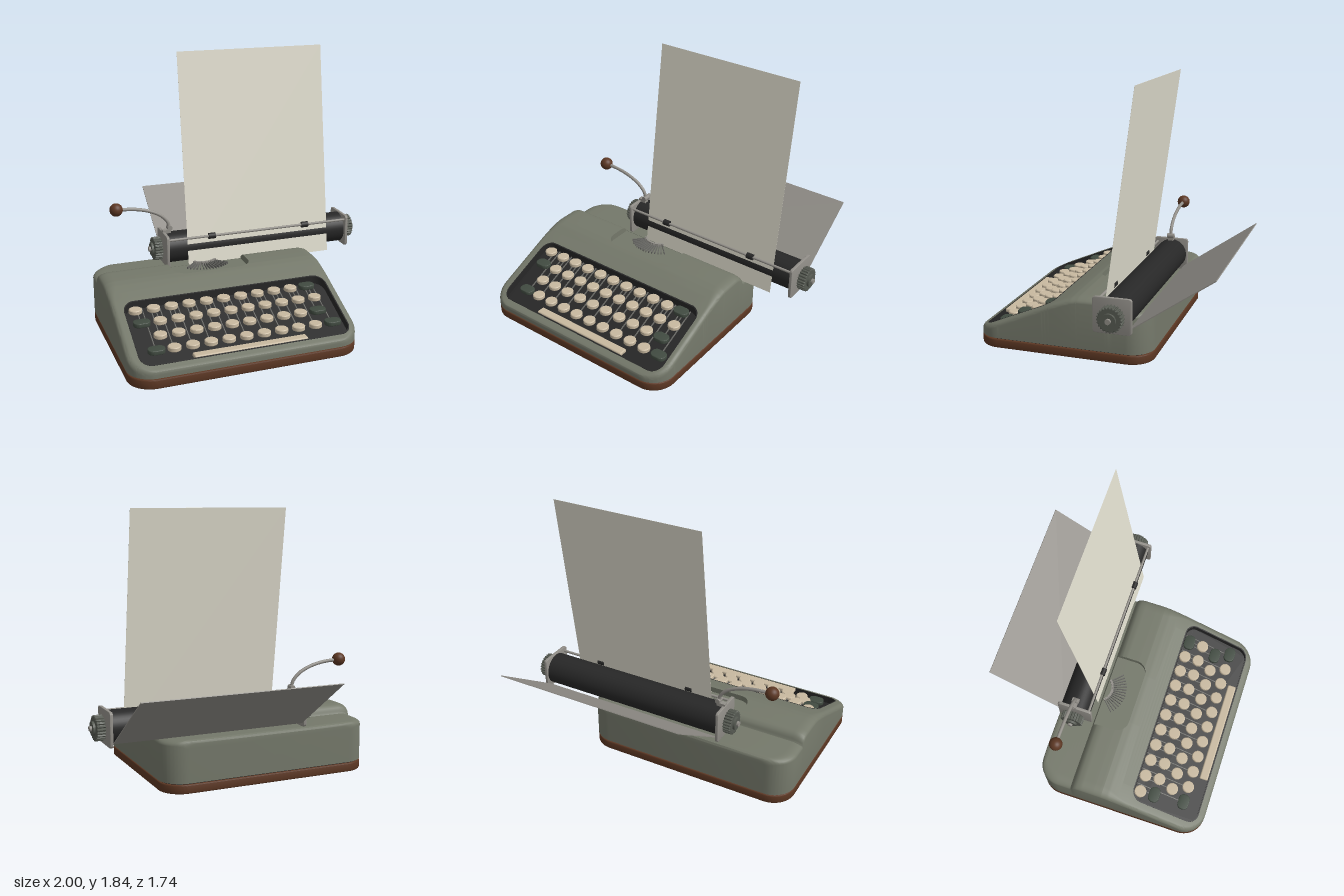
import * as THREE from 'three';
import { toCreasedNormals } from 'three/addons/utils/BufferGeometryUtils.js';
import { RoundedBoxGeometry } from 'three/addons/geometries/RoundedBoxGeometry.js';

const mat = (color, side = THREE.FrontSide) => new THREE.MeshStandardMaterial({ color, side });
const M = {
  body: mat(0x74786a), wood: mat(0x5c3723), key: mat(0xc8b9a0), darkKey: mat(0x414b41), black: mat(0x272727),
  metal: mat(0x928f89), knob: mat(0x565a52), steel: mat(0x6a6a66),
  paper: mat(0xe2dfd0, THREE.DoubleSide), tray: mat(0x928f89, THREE.DoubleSide),
};

// Body footprint and side profile (z, height) from front to back
const CX = -0.235, HW = 0.765, ZF = 0.867, ZB = -0.37, R = 0.16, YB = 0.07;
const PROFILE = [[.867, .10], [.863, .113], [.85, .121], [.30, .358], [.22, .39], [.17, .408], [.12, .418], [.06, .42],
  [-.04, .42], [-.07, .412], [-.092, .395], [-.103, .37], [-.106, .36], [-.11, .355], [-.35, .355], [-.364, .349], [-.37, .335]];
const WELL = { x: -0.224, hw: 0.705, z0: 0.32, z1: 0.82, r: 0.08, floor: h => h - 0.055 };
const BASKET = { x: -0.235, hw: 0.275, z0: -0.1, z1: 0.14, r: 0.09, open: true, floor: h => Math.min(h, 0.375) };

function height(z) {
  for (let i = 1; i < PROFILE.length; i++) {
    const [z0, y0] = PROFILE[i - 1], [z1, y1] = PROFILE[i];
    if (z >= z1) return y0 + (y1 - y0) * (z0 - z) / (z0 - z1);
  }
  return 0.335;
}

// Half width at z of a plan with rounded corners
function halfWidth(z, hw, z0, z1, r, open) {
  const d = Math.max(0, r - Math.max(0, open ? z1 - z : Math.min(z - z0, z1 - z)));
  return hw - r + Math.sqrt(Math.max(0, r * r - d * d));
}

// One closed cross-section of the body, from bottom left over the top to bottom right
function section(z, sunk) {
  const h = height(z), w = halfWidth(z, HW, ZB, ZF, R), n = 6;
  const rx = 0.035 + 0.045 * (1 - THREE.MathUtils.smoothstep(z, 0.1, 0.32)), ry = Math.min(0.035, (h - YB) * 0.6);
  const pit = z > 0.23 ? WELL : BASKET, pw = halfWidth(z, pit.hw, pit.z0, pit.z1, pit.r, pit.open);
  const f = sunk ? pit.floor(h) : h;
  const left = Math.max(pit.x - pw, CX - w + rx), right = Math.min(pit.x + pw, CX + w - rx);
  const arc = [];
  for (let k = 0; k <= n; k++) {
    const a = k / n * Math.PI / 2;
    arc.push([w - rx * (1 - Math.cos(a)), h - ry + ry * Math.sin(a)]);
  }
  return [[CX - w, YB], ...arc.map(([x, y]) => [CX - x, y]), [left, h], [left, f], [right, f], [right, h],
    ...arc.reverse().map(([x, y]) => [CX + x, y]), [CX + w, YB]].map(([x, y]) => [x, y, z]);
}

function bodyGeometry() {
  const zs = new Set(PROFILE.map(p => p[0]));
  for (let z = -0.36; z < 0.86; z += 0.02) zs.add(+z.toFixed(4));
  for (let k = 0; k <= 10; k++) {
    const c = 1 - Math.cos(k / 10 * Math.PI / 2);
    [ZF - R * c, ZB + R * c, WELL.z1 - WELL.r * c, WELL.z0 + WELL.r * c, BASKET.z1 - BASKET.r * c].forEach(z => zs.add(+z.toFixed(4)));
  }
  const rows = [], pits = [WELL, BASKET];
  for (const z of [...zs].sort((a, b) => b - a)) {
    const inside = pits.some(p => z < p.z1 && z > p.z0);
    if (pits.some(p => z === p.z1)) rows.push(section(z, false), section(z, true));
    else if (pits.some(p => z === p.z0)) rows.push(section(z, true), section(z, false));
    else rows.push(section(z, inside));
  }
  const n = rows[0].length, idx = [], last = (rows.length - 1) * n;
  const quad = (a, b, c, d) => idx.push(a, b, c, a, c, d);
  for (let i = 0; i < rows.length - 1; i++)
    for (let j = 0; j < n; j++) {
      const k = (j + 1) % n;
      quad(i * n + j, i * n + k, (i + 1) * n + k, (i + 1) * n + j);
    }
  for (let j = 0; j < n / 2 - 1; j++) {
    quad(j, n - 1 - j, n - 2 - j, j + 1);
    quad(last + j + 1, last + n - 2 - j, last + n - 1 - j, last + j);
  }
  const g = new THREE.BufferGeometry();
  g.setAttribute('position', new THREE.Float32BufferAttribute(rows.flat(2), 3));
  g.setIndex(idx);
  return toCreasedNormals(g, 0.7);
}

function roundRect(w, d, r, P = THREE.Shape) {
  const s = new P(), x = w / 2 - r, y = d / 2 - r;
  s.absarc(x, y, r, 0, Math.PI / 2);
  s.absarc(-x, y, r, Math.PI / 2, Math.PI);
  s.absarc(-x, -y, r, Math.PI, Math.PI * 1.5);
  s.absarc(x, -y, r, Math.PI * 1.5, Math.PI * 2);
  s.closePath();
  return s;
}

// Flat extrusion lying in the ground plane, bottom at y = 0, with small bevels
function slab(shape, h, bevel = 0) {
  const g = new THREE.ExtrudeGeometry(shape, { depth: h - 2 * bevel, curveSegments: 10, bevelEnabled: bevel > 0,
    bevelSize: bevel, bevelThickness: bevel, bevelOffset: -bevel, bevelSegments: 3 });
  return toCreasedNormals(g.translate(0, 0, bevel).rotateX(-Math.PI / 2), 0.6);
}

export function createModel() {
  const model = new THREE.Group();
  function add(name, geo, material, x = 0, y = 0, z = 0, parent = model) {
    const m = new THREE.Mesh(geo, material);
    m.name = name;
    m.position.set(x, y, z);
    parent.add(m);
    return m;
  }
  const group = name => { const g = new THREE.Group(); g.name = name; model.add(g); return g; };
  const rod = (r, len, seg = 16) => new THREE.CylinderGeometry(r, r, len, seg).rotateZ(Math.PI / 2);

  // Wooden base, shadow gap and shell
  const midZ = (ZF + ZB) / 2;
  add('base', slab(roundRect(2 * HW, ZF - ZB, R), 0.062, 0.008), M.wood, CX, 0, midZ);
  add('baseGap', slab(roundRect(2 * HW - 0.03, ZF - ZB - 0.03, R - 0.015), 0.02), M.black, CX, 0.055, midZ);
  add('body', bodyGeometry(), M.body);

  // Dark lining of the keyboard well, sheared to follow the sloping front
  const wellZ = (WELL.z0 + WELL.z1) / 2, wellD = WELL.z1 - WELL.z0;
  const slope = (height(0.4) - height(0.8)) / 0.4;
  const shear = g => { g.applyMatrix4(new THREE.Matrix4().set(1, 0, 0, 0, 0, 1, -slope, 0, 0, 0, 1, 0, 0, 0, 0, 1)); return g; };
  const wall = roundRect(2 * WELL.hw, wellD, WELL.r);
  wall.holes.push(roundRect(2 * WELL.hw - 0.016, wellD - 0.016, WELL.r - 0.008, THREE.Path));
  add('keyWellFloor', shear(slab(roundRect(2 * WELL.hw - 0.004, wellD - 0.004, WELL.r), 0.006)), M.black, WELL.x, height(wellZ) - 0.057, wellZ);
  add('keyWellWall', shear(slab(wall, 0.055)), M.black, WELL.x, height(wellZ) - 0.054, wellZ);

  // Keys with their levers
  const keys = group('keys');
  const cap = [[0, 0], [.04, 0], [.043, .004], [.043, .024], [.038, .029], [.03, .0295], [0, .028]].map(p => new THREE.Vector2(...p));
  const roundKey = toCreasedNormals(new THREE.LatheGeometry(cap, 20), 0.6);
  const wideKey = slab(roundRect(0.11, 0.08, 0.036), 0.029, 0.004);
  const stem = new THREE.CylinderGeometry(0.007, 0.007, 0.03, 8);
  function key(name, geo, material, x, z) {
    const y = height(z) - 0.041;
    add(name, geo, material, x, y, z, keys);
    add('keyStem', stem, M.steel, x, y - 0.012, z, keys);
    const len = z - WELL.z0 - 0.01;
    const lever = add('keyLever', new THREE.BoxGeometry(0.006, 0.008, len * Math.hypot(1, slope)), M.steel,
      x, height(z - len / 2) - 0.046, z - len / 2, keys);
    lever.rotation.x = Math.atan(slope);
  }
  const keyRows = [
    { z: 0.37, start: -0.85, count: 10, wide: [0.345] }, { z: 0.472, start: -0.715, count: 10, wide: [-0.835] },
    { z: 0.58, start: -0.745, count: 9, wide: [0.335] }, { z: 0.687, start: -0.685, count: 9, wide: [-0.80, 0.395] },
  ];
  for (const row of keyRows) {
    for (let i = 0; i < row.count; i++) key('letterKey', roundKey, M.key, row.start + i * 0.1195, row.z);
    row.wide.forEach(x => key('shiftKey', wideKey, M.darkKey, x, row.z));
  }
  add('spaceBar', new RoundedBoxGeometry(0.76, 0.028, 0.062, 3, 0.01), M.key, -0.21, height(0.777) - 0.022, 0.777, keys);

  // Fan of type bars in the basket
  const fan = group('typeBars');
  fan.position.set(-0.235, 0.39, -0.16);
  for (let i = 0; i < 15; i++) {
    const bar = new THREE.Group();
    bar.rotation.y = (i / 14 - 0.5) * Math.PI / 2;
    fan.add(bar);
    add('typeBar', new THREE.BoxGeometry(0.006, 0.016, 0.11), M.steel, 0, 0, 0.155, bar);
    add('typeSlug', new THREE.BoxGeometry(0.011, 0.024, 0.016), M.metal, 0, 0.004, 0.106, bar);
  }

  // Carriage: platen, end plates and ribbed knobs
  const PY = 0.473, PZ = -0.25, carriage = group('carriage');
  add('platen', rod(0.109, 1.37, 40), M.black, 0.2, PY, PZ, carriage);
  add('axle', rod(0.022, 1.53), M.steel, 0.2, PY, PZ, carriage);
  const endPlate = slab(roundRect(0.23, 0.25, 0.02), 0.02, 0.002).rotateZ(Math.PI / 2).translate(0.01, 0, 0);
  const ribs = new THREE.Shape();
  for (let i = 0; i < 96; i++) {
    const a = i / 96 * Math.PI * 2, r = i % 4 < 2 ? 0.083 : 0.075;
    ribs[i ? 'lineTo' : 'moveTo'](r * Math.cos(a), r * Math.sin(a));
  }
  const knobGeo = new THREE.ExtrudeGeometry(ribs, { depth: 0.048, bevelSize: 0.005, bevelThickness: 0.005, bevelOffset: -0.005, bevelSegments: 2 })
    .translate(0, 0, -0.024).rotateY(Math.PI / 2);
  for (const s of [-1, 1]) {
    const x = d => 0.2025 + s * d;
    add('endPlate', endPlate, M.metal, x(0.687), 0.475, -0.245, carriage);
    add('knob', knobGeo, M.knob, x(0.738), PY, PZ, carriage);
    add('knobHub', rod(0.045, 0.02, 24), M.knob, x(0.772), PY, PZ, carriage);
    add('knobCap', rod(0.018, 0.018), M.metal, x(0.788), PY, PZ, carriage);
  }

  // Paper bail with two rollers
  add('bailRod', rod(0.009, 1.38), M.metal, 0.2, 0.557, -0.143, carriage);
  for (const x of [-0.16, 0.555]) add('bailRoller', rod(0.021, 0.05), M.black, x, 0.557, -0.143, carriage);

  // Carriage return lever
  const lever = group('returnLever');
  const path = new THREE.CatmullRomCurve3([[-.44, .61], [-.452, .66], [-.5, .712], [-.58, .752], [-.68, .777], [-.8, .787]]
    .map(([x, y]) => new THREE.Vector3(x, y, PZ)));
  add('leverArm', new THREE.TubeGeometry(path, 32, 0.012, 10), M.metal, 0, 0, 0, lever);
  add('leverKnob', new THREE.SphereGeometry(0.046, 24, 16), M.wood, -0.815, 0.788, PZ, lever);
  add('leverPivot', new THREE.CylinderGeometry(0.018, 0.018, 0.05, 16).rotateX(Math.PI / 2), M.metal, -0.44, 0.617, PZ, lever);
  add('leverBracket', new THREE.BoxGeometry(0.06, 0.03, 0.036), M.metal, -0.462, 0.59, PZ, lever);

  // Typing sheet leaning back over the platen, and the paper rest behind
  const sheet = (w, y0, z0, y1, z1, t) => new THREE.BoxGeometry(w, Math.hypot(y1 - y0, z1 - z0), t)
    .rotateX(Math.atan2(z1 - z0, y1 - y0)).translate(0, (y0 + y1) / 2, (z0 + z1) / 2);
  add('paper', sheet(1.075, 0.34, -0.125, 1.84, -0.332, 0.001), M.paper, 0.2);
  add('paperRest', sheet(1.345, 0.385, -0.345, 0.752, -0.87, 0.006), M.tray, 0.2);
  return model;
}
